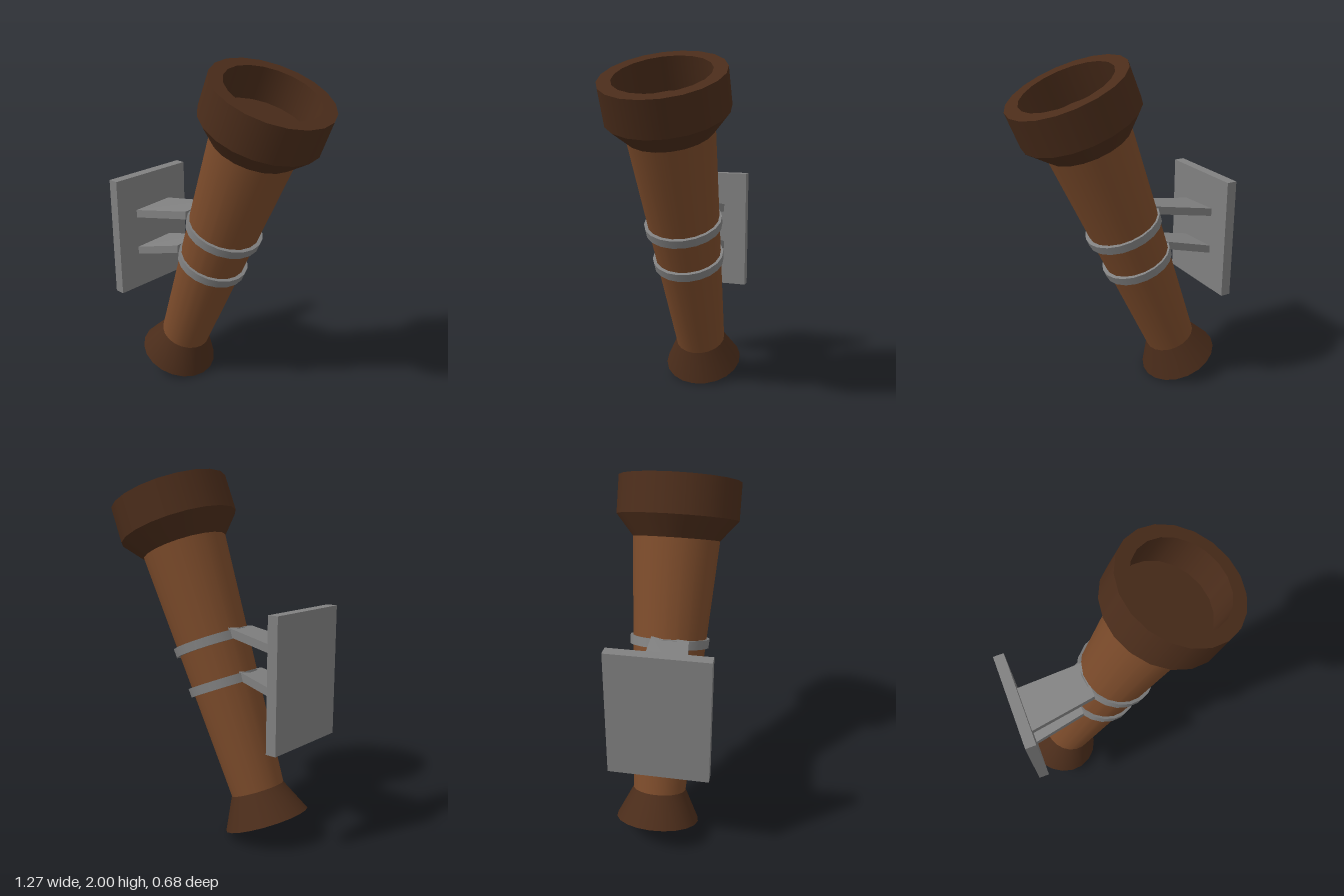
import * as THREE from 'three';
import { mergeGeometries } from 'three/addons/utils/BufferGeometryUtils.js';

const SIDES = 20;
const TILT = 0.392;
const darkWood = new THREE.MeshStandardMaterial({ color: 0x4a2c1a });
const wood = new THREE.MeshStandardMaterial({ color: 0x7a4a2a });
const metal = new THREE.MeshStandardMaterial({ color: 0x808080 });

function addMesh(parent, name, geometry, material) {
  const mesh = new THREE.Mesh(geometry, material);
  mesh.name = name;
  parent.add(mesh);
  return mesh;
}

// Revolved profile: smooth around the axis, sharp at every profile corner
function revolve(profile) {
  const bands = [];
  for (let i = 0; i + 1 < profile.length; i++) {
    const pair = [profile[i], profile[i + 1]].map(([r, y]) => new THREE.Vector2(r, y));
    bands.push(new THREE.LatheGeometry(pair, SIDES));
  }
  return mergeGeometries(bands);
}

// Tapered bar between two rectangular ends, its back edge slightly raised
function taperedBar(near, far) {
  const geo = new THREE.BoxGeometry(1, 1, 1).toNonIndexed();
  const p = geo.attributes.position;
  for (let i = 0; i < p.count; i++) {
    const end = p.getX(i) < 0 ? near : far;
    const back = p.getZ(i) < 0;
    p.setXYZ(i, end.x, end.y + p.getY(i) * 0.047 + (back ? 0.012 : 0), back ? end.back : end.front);
  }
  geo.computeVertexNormals();
  return geo;
}

export function createModel() {
  const model = new THREE.Group();
  model.name = 'wallMountedTube';

  // Leaning tube, built upright along its own axis
  const tube = new THREE.Group();
  tube.name = 'tube';
  tube.position.set(-0.417, 0.092, 0);
  tube.rotation.z = -TILT;
  model.add(tube);

  addMesh(tube, 'flaredFoot', revolve([[0, 0], [0.235, 0], [0.15, 0.174]]), darkWood);
  addMesh(tube, 'barrel', revolve([[0.15, 0.174], [0.243, 1.598]]), wood);
  addMesh(tube, 'hollowMouth', revolve([
    [0.243, 1.598], [0.341, 1.713], [0.341, 1.922], [0.265, 1.922], [0.265, 1.727], [0, 1.727],
  ]), darkWood);

  // Clamp rings around the barrel
  for (const [name, s, r] of [['upperRing', 1.028, 0.222], ['lowerRing', 0.79, 0.206]]) {
    const ring = revolve([
      [r - 0.03, -0.025], [r - 0.001, -0.025], [r + 0.002, 0.025], [r - 0.03, 0.025],
    ]);
    addMesh(tube, name, ring, metal).position.set(0.006, s, 0);
  }

  // Wall plate
  addMesh(model, 'wallPlate', new THREE.BoxGeometry(0.06, 0.715, 0.54), metal)
    .position.set(-0.6, 0.918, 0.045);

  // Arms from plate to rings
  for (const [name, y0, x1, y1] of [['upperArm', 1.04, -0.19, 1.118], ['lowerArm', 0.8, -0.265, 0.887]]) {
    addMesh(model, name, taperedBar(
      { x: -0.58, y: y0, back: -0.085, front: 0.175 },
      { x: x1, y: y1, back: -0.07, front: 0.135 },
    ), metal);
  }
  return model;
}
